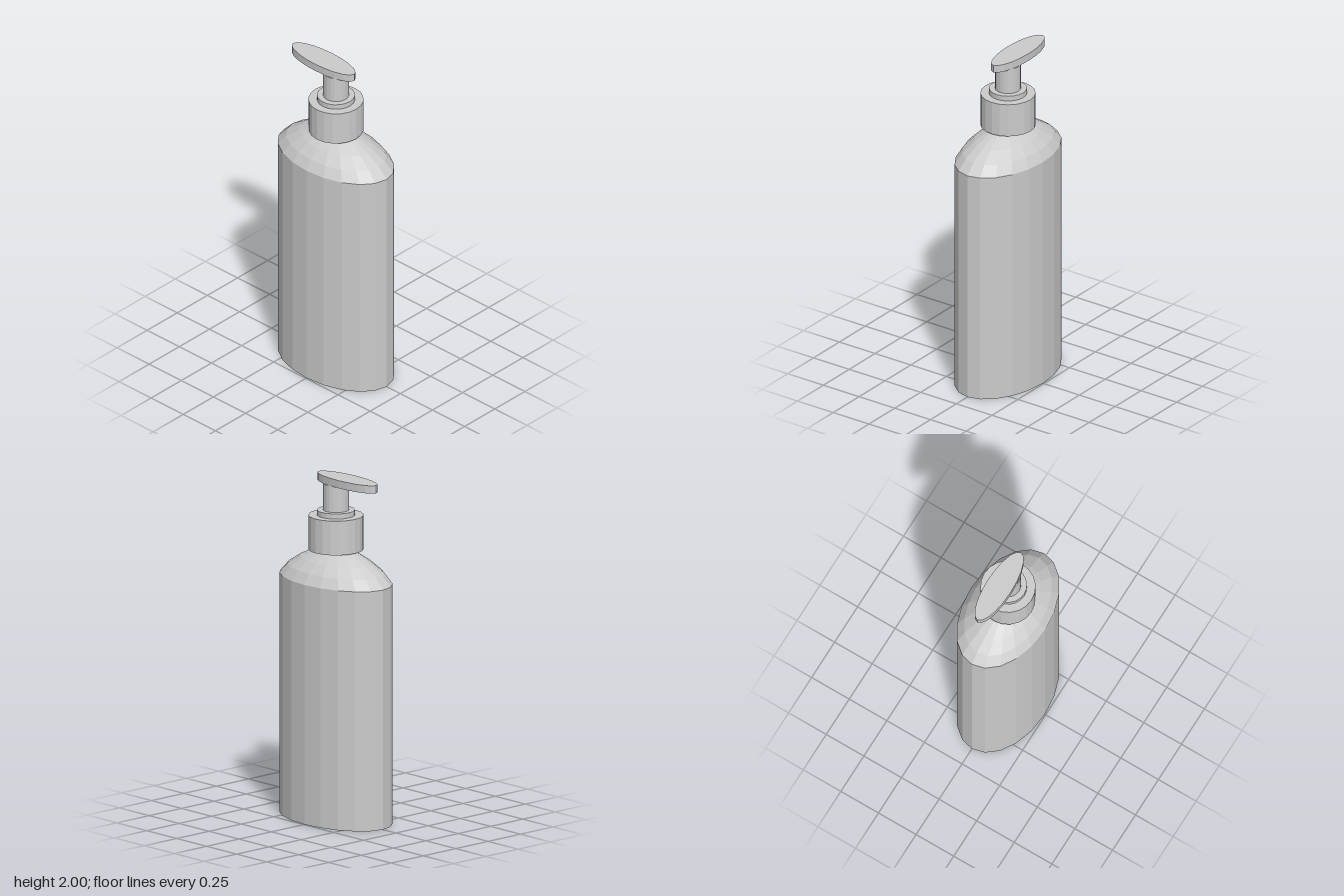
import * as THREE from 'three';

const SIDES = 20;

export function createModel() {
  const model = new THREE.Group();
  const material = new THREE.MeshStandardMaterial({ color: 0xcccccc, flatShading: true });

  const add = (name, geometry) => {
    const mesh = new THREE.Mesh(geometry, material);
    mesh.name = name;
    model.add(mesh);
    return mesh;
  };

  // Upright faceted disc or tube between two heights
  const column = (name, radius, y0, y1) => {
    const mesh = add(name, new THREE.CylinderGeometry(radius, radius, y1 - y0, SIDES));
    mesh.position.y = (y0 + y1) / 2;
    return mesh;
  };

  // Bottle: one closed profile, flattened front to back into an oval
  const profile = [
    [0, 0], [0.393, 0], [0.393, 1.4], [0.336, 1.458],
    [0.25, 1.512], [0.125, 1.57], [0, 1.572],
  ].map(([r, y]) => new THREE.Vector2(r, y));
  const bottle = new THREE.LatheGeometry(profile, SIDES);
  bottle.scale(1, 1, 0.245 / 0.393);
  add('bottle', bottle);

  // Pump: screw cap, collar and stem
  column('cap', 0.157, 1.57, 1.77);
  column('collar', 0.108, 1.77, 1.8);
  column('stem', 0.074, 1.8, 1.955);

  // Long oval press head, reaching out to the model's right
  const head = column('pumpHead', 1, 1.955, 2);
  head.geometry.scale(0.238, 1, 0.075);
  head.position.x = -0.096;

  return model;
}
